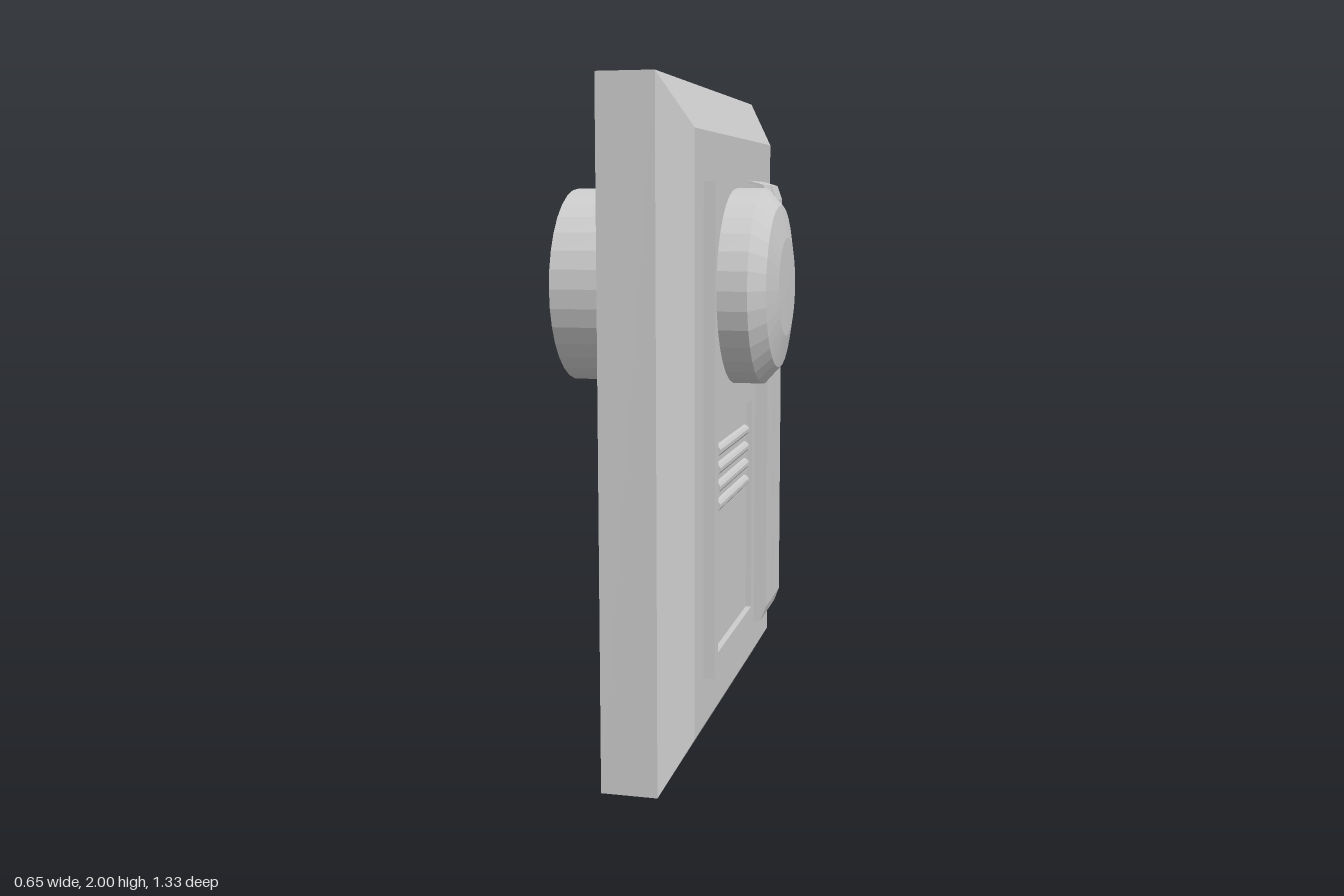
import * as THREE from 'three';

const material = new THREE.MeshStandardMaterial({ color: 0xcccccc, flatShading: true });

export function createModel() {
  const model = new THREE.Group();
  const add = (name, geometry) => {
    const mesh = new THREE.Mesh(geometry, material);
    mesh.name = name;
    model.add(mesh);
    return mesh;
  };

  // Box given by its ranges
  const box = (x0, x1, y0, y1, z0, z1) =>
    new THREE.BoxGeometry(x1 - x0, y1 - y0, z1 - z0)
      .translate((x0 + x1) / 2, (y0 + y1) / 2, (z0 + z1) / 2);

  // Rectangle drawn in (-z, y), to be extruded along +x
  const rect = (Type, y0, y1, z0, z1) => new Type([
    new THREE.Vector2(-z1, y0), new THREE.Vector2(-z0, y0),
    new THREE.Vector2(-z0, y1), new THREE.Vector2(-z1, y1),
  ]);

  // Solid of revolution about the x axis, from [radius, x] points
  const turned = (points, y, z) =>
    new THREE.LatheGeometry(points.map(([r, x]) => new THREE.Vector2(r, x)), 32)
      .rotateZ(-Math.PI / 2).translate(0, y, z);

  // Wall plate with a sloped border on its face
  add('wallPlate', box(-0.115, 0.05, 0, 2, -0.665, 0.665));
  const bevel = box(0.05, 0.135, 0, 2, -0.665, 0.665);
  const p = bevel.attributes.position;
  for (let i = 0; i < p.count; i++) {
    if (p.getX(i) > 0.1) {
      p.setY(i, p.getY(i) > 1 ? 1.855 : 0.145);
      p.setZ(i, Math.sign(p.getZ(i)) * 0.57);
    }
  }
  bevel.computeVertexNormals();
  add('plateBevel', bevel);

  // Raised panel with a shallow rectangular recess
  const panel = rect(THREE.Shape, 0.29, 1.715, -0.14, 0.46);
  panel.holes.push(rect(THREE.Path, 0.355, 1.035, -0.095, 0.41));
  add('raisedPanel', new THREE.ExtrudeGeometry(panel, { depth: 0.033, bevelEnabled: false })
    .rotateY(Math.PI / 2).translate(0.135, 0, 0));
  add('recessFloor', box(0.13, 0.15, 0.355, 1.035, -0.095, 0.41));

  // Round lens on the face and housing behind the plate
  add('lens', turned([[0, 0.165], [0.29, 0.165], [0.29, 0.255], [0.24, 0.3],
    [0.145, 0.32], [0, 0.322]], 1.41, 0.155));
  add('rearHousing', turned([[0, -0.325], [0.29, -0.325], [0.29, -0.115], [0, -0.115]],
    1.41, 0.155));

  // Rounded speaker slats
  for (let i = 0; i < 4; i++) {
    add('speakerSlat' + (i + 1), new THREE.CylinderGeometry(0.017, 0.017, 0.43, 10)
      .rotateX(Math.PI / 2).translate(0.15, 0.944 - i * 0.054, 0.16));
  }

  // Two tall bars with chamfered ends; the outer one leans in on its far side
  const profile = new THREE.Shape([
    [0.13, 0.27], [0.183, 0.285], [0.2, 0.33], [0.2, 1.67], [0.183, 1.715], [0.13, 1.73],
  ].map(([x, y]) => new THREE.Vector2(x, y)));
  for (const [name, z0, z1, lean] of [
    ['innerBar', -0.31, -0.187, 0], ['outerBar', -0.46, -0.323, 0.02],
  ]) {
    const bar = new THREE.ExtrudeGeometry(profile, { depth: z1 - z0, bevelEnabled: false })
      .translate(0, 0, z0);
    const q = bar.attributes.position;
    for (let i = 0; i < q.count; i++) {
      if (q.getZ(i) < z0 + 0.01) q.setZ(i, z0 + lean * (q.getX(i) - 0.13) / 0.07);
    }
    bar.computeVertexNormals();
    add(name, bar);
  }

  return model;
}
